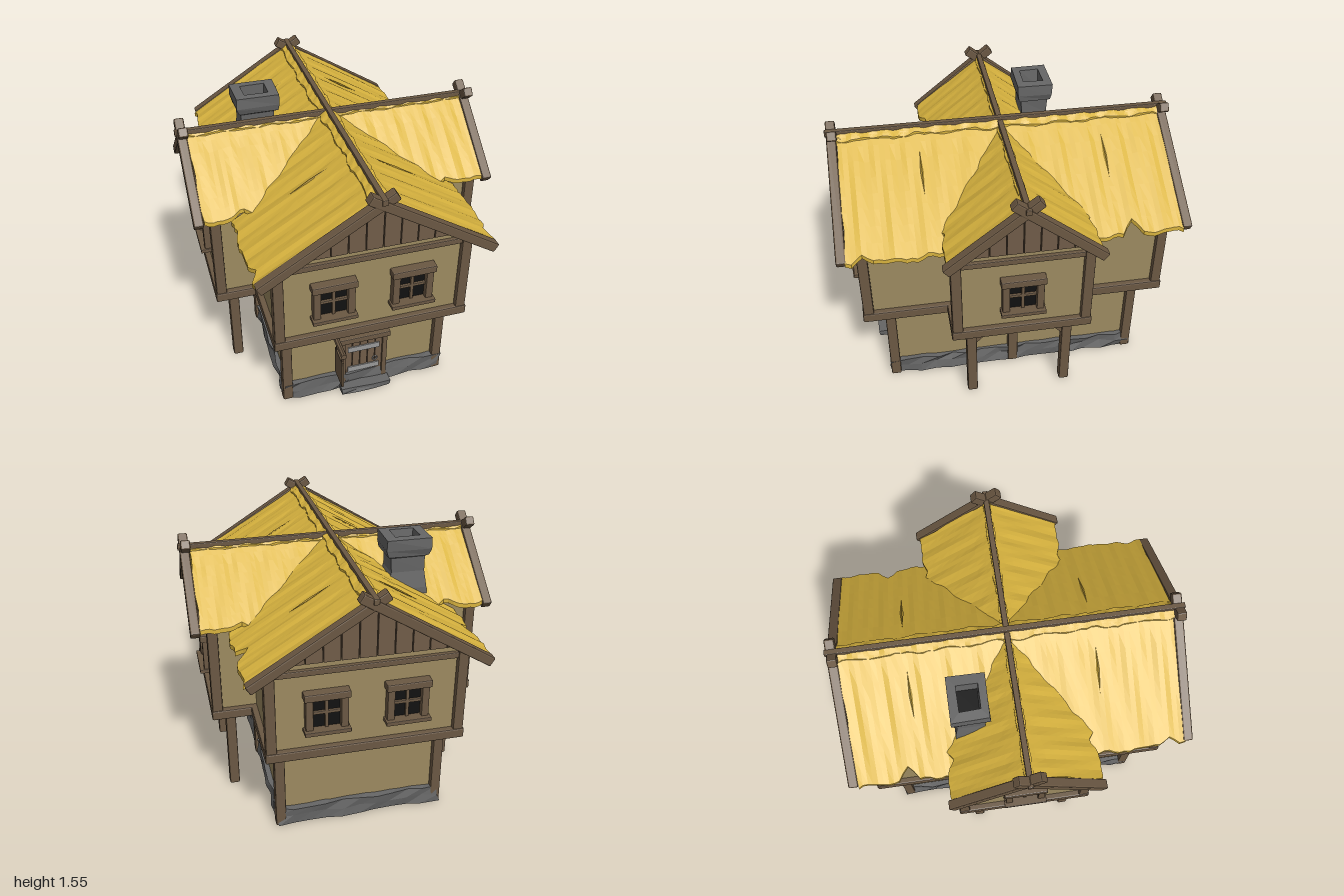
import * as THREE from 'three';
import { RoundedBoxGeometry } from 'three/addons/geometries/RoundedBoxGeometry.js';

const mat = (color) => new THREE.MeshStandardMaterial({ color, flatShading: true });
const WOOD = mat(0x6b5843), PLANK = mat(0x705c48), DARK = mat(0x4a3b2d), WALL = mat(0x9c8a60);
const THATCH = mat(0xd9b43f), STRAW = mat(0xa88a2e), STONE = mat(0x666666), BLACK = mat(0x111111), IRON = mat(0x999999);

// Repeatable noise from a position, -1..1
const hash = (x, y, z) => {
  const s = Math.sin(Math.round(x * 500) * 12.9898 + Math.round(y * 500) * 78.233 + Math.round(z * 500) * 37.719) * 43758.5453;
  return (s - Math.floor(s)) * 2 - 1;
};

function add(parent, name, geometry, material, x = 0, y = 0, z = 0) {
  const mesh = new THREE.Mesh(geometry, material);
  mesh.name = name;
  mesh.position.set(x, y, z);
  parent.add(mesh);
  return mesh;
}

// Box given by its centre and size
const box = (p, name, m, x, y, z, w, h, d) => add(p, name, new THREE.BoxGeometry(w, h, d), m, x, y, z);

// Timber with chamfered edges
const beam = (p, name, x, y, z, w, h, d) =>
  add(p, name, new RoundedBoxGeometry(w, h, d, 1, Math.min(w, h, d) * 0.14), WOOD, x, y, z);

// Slanted timber in the xy plane between two points
function slant(p, name, x0, y0, x1, y1, z, thick, depth) {
  const b = beam(p, name, (x0 + x1) / 2, (y0 + y1) / 2, z, Math.hypot(x1 - x0, y1 - y0), thick, depth);
  b.rotation.z = Math.atan2(y1 - y0, x1 - x0);
  return b;
}

// Four-pane window facing +z, centred on x
function addWindow(p, x, z) {
  const g = new THREE.Group();
  g.name = 'window';
  g.position.set(x, 0.82, z);
  p.add(g);
  box(g, 'windowOpening', BLACK, 0, 0, 0, 0.17, 0.22, 0.012);
  for (const s of [-1, 1]) beam(g, 'windowJamb', s * 0.097, 0, 0.015, 0.042, 0.21, 0.05);
  beam(g, 'windowHeader', 0, 0.112, 0.02, 0.255, 0.045, 0.065);
  beam(g, 'windowSill', 0, -0.105, 0.025, 0.255, 0.024, 0.08);
  beam(g, 'windowMullion', 0, 0, 0.01, 0.018, 0.2, 0.02);
  beam(g, 'windowCrossbar', 0, 0, 0.01, 0.16, 0.018, 0.02);
}

// One end of an upper wing, facing +z: posts, beams, windows, planked gable, barge boards
function addGableEnd(p, { half, dist, turn, windows, apex, slope, barge, bargeEnd, bargeSlope }) {
  const g = new THREE.Group();
  g.name = 'gableEnd';
  g.rotation.y = turn;
  p.add(g);
  for (const s of [-1, 1]) beam(g, 'upperPost', s * half, 0.85, dist, 0.06, 0.55, 0.06);
  beam(g, 'floorBeam', 0, 0.57, dist, half * 2 + 0.07, 0.06, 0.07);
  beam(g, 'topBeam', 0, 1.07, dist + 0.002, half * 2, 0.035, 0.04);
  windows.forEach((x) => addWindow(g, x, dist + 0.002));

  // Vertical boards cut to the roof slope, with narrow gaps
  const n = Math.round((half * 2) / 0.095), w = (half * 2) / n, roofY = (x) => apex - slope * Math.abs(x);
  for (let i = 0; i < n; i++) {
    const a = -half + i * w + 0.003, b = a + w - 0.006;
    const pts = [[a, 1.12], [b, 1.12], [b, Math.max(1.121, roofY(b))]];
    if (a < 0 && b > 0) pts.push([0, apex]);
    pts.push([a, Math.max(1.121, roofY(a))]);
    const shape = new THREE.Shape(pts.map(([x, y]) => new THREE.Vector2(x, y)));
    add(g, 'gableBoard', new THREE.ExtrudeGeometry(shape, { depth: 0.015, bevelEnabled: false }), PLANK, 0, 0, dist);
  }
  // Barge boards crossing at the ridge
  for (const s of [-1, 1]) {
    const y1 = 1.515, y0 = y1 - bargeSlope * (bargeEnd + 0.075);
    slant(g, 'bargeBoard', -s * 0.075, y1, s * bargeEnd, y0, barge + s * 0.003, 0.055, 0.055);
  }
}

// Ragged, rippled thatch on both sides of a ridge that runs along z
function addThatch(p, name, { length, eave, ridge, slope, thick, rag, notches = [], material = THATCH, turn = 0 }) {
  const g = new THREE.Group();
  g.name = name;
  g.rotation.y = turn;
  p.add(g);
  for (const s of [-1, 1]) {
    const geo = new THREE.BoxGeometry(eave, thick, length, 8, 1, 64);
    const pos = geo.attributes.position;
    for (let i = 0; i < pos.count; i++) {
      const z = pos.getZ(i), t = (s * pos.getX(i) + eave / 2) / eave;
      let edge = eave + rag * (0.6 * Math.sin(z * 23) + 0.5 * hash(0, 0, z));
      for (const [z0, depth] of notches) edge -= depth * Math.max(0, 1 - Math.abs(z - z0) / 0.06);
      const u = t * edge;
      const ripple = 0.004 * Math.sin(z * 38 + 2 * t) + 0.003 * Math.sin(z * 71 - 3 * t);
      const endRag = Math.abs(z) > length / 2 - 0.001 ? 0.006 * Math.sin(t * 40) : 0;
      pos.setXYZ(i, s * u, ridge - slope * u + pos.getY(i) + ripple * Math.min(1, t * 4), z + endRag);
    }
    geo.computeVertexNormals();
    add(g, name + 'Slope', geo, material);
  }
  return g;
}

// Jittered stone block
function rock(p, name, x, y, z, w, h, d, sx, sz, amount) {
  const geo = new THREE.BoxGeometry(w, h, d, sx, 2, sz), pos = geo.attributes.position;
  for (let i = 0; i < pos.count; i++) {
    const a = pos.getX(i), b = pos.getY(i), c = pos.getZ(i), low = b < -h / 2 + 0.001;
    pos.setXYZ(i, a + amount * hash(a, b, c), low ? b : b + 0.5 * amount * hash(c, a, b), c + amount * hash(b, c, a));
  }
  geo.computeVertexNormals();
  return add(p, name, geo, STONE, x, y, z);
}

export function createModel() {
  const house = new THREE.Group();
  house.name = 'timberHouse';

  // Ground floor
  rock(house, 'foundation', 0, 0.055, 0, 0.98, 0.11, 1.53, 10, 16, 0.014);
  rock(house, 'doorStep', 0, 0.02, 0.79, 0.3, 0.04, 0.08, 3, 1, 0.005);
  box(house, 'lowerWalls', WALL, 0, 0.31, 0, 0.93, 0.5, 1.47);
  for (const s of [-1, 1]) {
    for (const t of [-1, 1]) {
      beam(house, 'lowerCornerPost', s * 0.47, 0.275, t * 0.74, 0.06, 0.55, 0.06);
      beam(house, 'outerPost', s * 0.68, 0.275, t * 0.285, 0.06, 0.55, 0.06);
      const side = new THREE.Group();
      side.name = 'postBrace';
      side.rotation.y = s * Math.PI / 2;
      house.add(side);
      slant(side, 'brace', t * 0.265, 0.41, t * 0.13, 0.55, 0.68, 0.03, 0.035);
    }
    beam(house, 'middlePost', s * 0.475, 0.275, 0, 0.06, 0.55, 0.06);
    beam(house, 'lowerRail', 0, 0.48, s * 0.74, 0.9, 0.036, 0.03);
    beam(house, 'lowerSideRail', s * 0.47, 0.49, 0, 0.03, 0.036, 1.44);
  }

  // Door
  const door = new THREE.Group();
  door.name = 'door';
  door.position.z = 0.745;
  house.add(door);
  box(door, 'doorBacking', DARK, 0, 0.2, 0, 0.25, 0.33, 0.01);
  for (let i = -2; i <= 2; i++) box(door, 'doorPlank', PLANK, i * 0.047, 0.2, 0.006, 0.042, 0.33, 0.016);
  for (const s of [-1, 1]) beam(door, 'doorJamb', s * 0.128, 0.2, 0.008, 0.03, 0.33, 0.04);
  beam(door, 'doorLintel', 0, 0.383, 0.012, 0.315, 0.038, 0.055);
  for (const y of [0.135, 0.295]) box(door, 'ironBand', IRON, -0.002, y, 0.015, 0.195, 0.038, 0.012);
  add(door, 'doorRing', new THREE.TorusGeometry(0.015, 0.004, 5, 10), IRON, 0.07, 0.19, 0.02);

  // Hanging board on its pole
  const pole = add(house, 'signPole', new THREE.CylinderGeometry(0.017, 0.017, 0.25, 8), WOOD, -0.195, 0.485, 0.86);
  pole.rotation.x = Math.PI / 2;
  box(house, 'signBoard', WOOD, -0.195, 0.325, 0.9, 0.012, 0.19, 0.135);
  for (const z of [0.853, 0.952]) box(house, 'signStrap', DARK, -0.195, 0.45, z, 0.01, 0.1, 0.008);

  // Upper floor: two crossing blocks
  const blocks = [['mainWing', 0.53, 0.86], ['crossWing', 0.76, 0.37]];
  for (const [name, x, z] of blocks) {
    box(house, name + 'Walls', WALL, 0, 0.845, 0, x * 2, 0.57, z * 2);
    box(house, name + 'Floor', DARK, 0, 0.555, 0, x * 2, 0.02, z * 2);
  }
  for (const s of [-1, 1]) for (const t of [-1, 1]) {
    beam(house, 'mainSideBeam', s * 0.53, 0.57, t * 0.615, 0.07, 0.06, 0.55);
    beam(house, 'crossSideBeam', s * 0.645, 0.57, t * 0.37, 0.29, 0.06, 0.07);
  }
  const main = { half: 0.53, dist: 0.86, windows: [-0.225, 0.225], apex: 1.44, slope: 0.6, barge: 0.962, bargeEnd: 0.65, bargeSlope: 0.62 };
  const cross = { half: 0.37, dist: 0.76, windows: [0], apex: 1.42, slope: 0.8, barge: 0.85, bargeEnd: 0.43, bargeSlope: 0.79 };
  for (const s of [0, 1]) {
    addGableEnd(house, { ...main, turn: s * Math.PI });
    addGableEnd(house, { ...cross, turn: Math.PI / 2 + s * Math.PI });
  }
  // Solid backing behind the gable boards
  for (const [c, turn] of [[main, 0], [cross, Math.PI / 2]]) {
    const tri = new THREE.Shape([[-c.half, 1.11], [c.half, 1.11], [0, c.apex - 0.005]].map(([x, y]) => new THREE.Vector2(x, y)));
    const geo = new THREE.ExtrudeGeometry(tri, { depth: c.dist * 2, bevelEnabled: false });
    geo.translate(0, 0, -c.dist);
    add(house, 'gableBacking', geo, DARK).rotation.y = turn;
  }

  // Roof
  const a = { length: 1.88, eave: 0.665, ridge: 1.477, slope: 0.61, thick: 0.026, rag: 0.012 };
  const b = { length: 1.65, eave: 0.425, ridge: 1.457, slope: 0.77, thick: 0.026, rag: 0.008, turn: Math.PI / 2 };
  addThatch(house, 'mainThatch', { ...a, notches: [[-0.65, 0.075], [0.86, 0.045]] });
  addThatch(house, 'crossThatch', { ...b, notches: [[-0.6, 0.04], [0.6, 0.03]] });
  addThatch(house, 'mainRidgeCap', { ...a, eave: 0.05, ridge: 1.487, rag: 0.01 });
  addThatch(house, 'crossRidgeCap', { ...b, eave: 0.024, ridge: 1.465, rag: 0.005 });
  beam(house, 'mainRidgeBeam', 0, 1.493, 0, 0.032, 0.034, 2);
  beam(house, 'crossRidgeBeam', 0, 1.475, 0, 1.78, 0.034, 0.032);
  // Loose tufts lying on the thatch
  for (const s of [-1, 1]) for (const z of [-0.57, 0.48]) {
    const tuft = add(house, 'looseStraw', new THREE.OctahedronGeometry(1), STRAW, s * 0.25, 1.477 - 0.61 * 0.25 + 0.016, z);
    tuft.scale.set(0.14, 0.006, 0.01);
    tuft.rotation.z = -s * Math.atan(0.61);
  }

  // Chimney: square stack with a pinched neck and open top
  const profile = [[0.125, 1.08], [0.12, 1.24], [0.098, 1.34], [0.1, 1.43], [0.118, 1.44], [0.132, 1.48], [0.13, 1.545], [0.073, 1.548], [0.07, 1.44]];
  const stack = new THREE.LatheGeometry(profile.map(([r, y]) => new THREE.Vector2(r * Math.SQRT2, y)), 4, Math.PI / 4);
  stack.scale(1, 1, 0.79);
  const sp = stack.attributes.position;
  for (let i = 0; i < sp.count; i++) {
    const x = sp.getX(i), y = sp.getY(i), z = sp.getZ(i);
    sp.setXYZ(i, x + 0.005 * hash(x, y, z), y, z + 0.005 * hash(z, x, y));
  }
  stack.computeVertexNormals();
  const chimney = add(house, 'chimney', stack, STONE.clone(), -0.377, 0, -0.26);
  chimney.material.side = THREE.DoubleSide;
  box(house, 'chimneyFlue', BLACK, -0.377, 1.46, -0.26, 0.15, 0.02, 0.12);

  return house;
}
